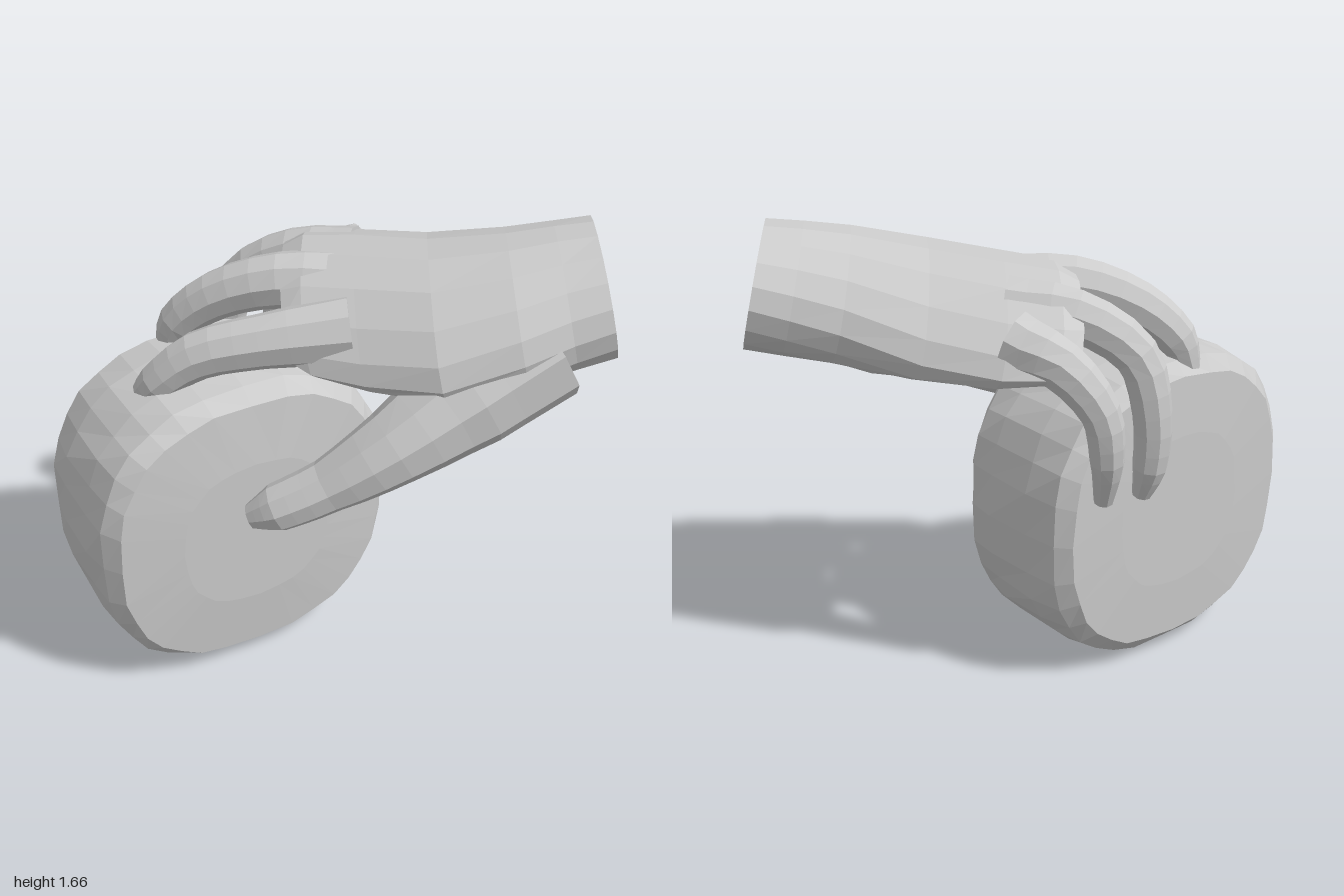
import * as THREE from 'three';

const material = new THREE.MeshStandardMaterial({ color: 0xcccccc, flatShading: true });

// Skin a list of equal-length rings and close both ends
function loft(name, rings) {
  const n = rings[0].length, pos = [], idx = [];
  rings.forEach(r => r.forEach(p => pos.push(p.x, p.y, p.z)));
  for (let i = 0; i < rings.length - 1; i++) {
    for (let j = 0; j < n; j++) {
      const a = i * n + j, b = i * n + (j + 1) % n;
      idx.push(a, b, a + n, b, b + n, a + n);
    }
  }
  [0, rings.length - 1].forEach(i => {
    const c = rings[i].reduce((s, p) => s.add(p), new THREE.Vector3()).divideScalar(n);
    const k = pos.length / 3;
    pos.push(c.x, c.y, c.z);
    for (let j = 0; j < n; j++) {
      const a = i * n + j, b = i * n + (j + 1) % n;
      if (i === 0) idx.push(k, b, a); else idx.push(k, a, b);
    }
  });
  const g = new THREE.BufferGeometry();
  g.setAttribute('position', new THREE.Float32BufferAttribute(pos, 3));
  g.setIndex(idx);
  g.computeVertexNormals();
  const mesh = new THREE.Mesh(g, material);
  mesh.name = name;
  return mesh;
}

const angles = n => Array.from({ length: n }, (_, j) => j / n * Math.PI * 2);

// Tapered finger through points [x, y, z, radius], with a rounded tip
function finger(name, pts, steps = 12, sides = 9) {
  const curve = new THREE.CatmullRomCurve3(pts.map(p => new THREE.Vector3(p[0], p[1], p[2])));
  const zAxis = new THREE.Vector3(0, 0, 1), rings = [];
  for (let i = 0; i <= steps; i++) {
    const t = i / steps, f = t * (pts.length - 1);
    const k = Math.min(Math.floor(f), pts.length - 2);
    const r = THREE.MathUtils.lerp(pts[k][3], pts[k + 1][3], f - k);
    const c = curve.getPoint(t), T = curve.getTangent(t);
    const u = T.clone().cross(zAxis).normalize(), v = T.clone().cross(u);
    rings.push(angles(sides).map(a => c.clone()
      .addScaledVector(u, r * Math.cos(a)).addScaledVector(v, r * Math.sin(a))));
  }
  return loft(name, rings);
}

// Thick rounded disc, turned about the vertical, with a bevelled, slightly uneven rim
function disc() {
  const d = new THREE.Vector3(0.85, 0, -0.53), n = new THREE.Vector3(0.53, 0, 0.85);
  const sq = v => Math.sign(v) * Math.abs(v) ** 0.8;
  const profile = [[-0.3, 0.5], [-0.29, 0.88], [-0.24, 0.97], [-0.1, 1], [0.1, 1], [0.22, 0.98], [0.28, 0.9], [0.3, 0.5]];
  return loft('roundBlock', profile.map(([h, s], i) => angles(32).map((a, j) => {
    const k = s * (1 + 0.008 * Math.sin(j * 2.4 + i * 1.9));
    return new THREE.Vector3(-0.38, 0.59, 0.065)
      .addScaledVector(d, 0.575 * k * sq(Math.cos(a)))
      .addScaledVector(n, h)
      .add(new THREE.Vector3(0, 0.585 * k * sq(Math.sin(a)), 0));
  })));
}

// Wrist and palm: rings of [x, centre y, half height, centre z, half width, droop of the sides]
function palm() {
  const sections = [
    [0.95, 1.445, 0.215, 0.02, 0.315, 0],
    [0.82, 1.425, 0.22, 0.03, 0.33, 0.02],
    [0.66, 1.4, 0.22, 0.045, 0.375, 0.04],
    [0.4, 1.38, 0.195, 0.015, 0.445, 0.1],
    [0.15, 1.39, 0.155, -0.07, 0.45, 0.14],
    [-0.03, 1.4, 0.12, -0.115, 0.43, 0.15],
    [-0.1, 1.4, 0.08, -0.12, 0.39, 0.13],
  ];
  return loft('palmAndWrist', sections.map(([x, cy, ry, cz, rz, sag]) => angles(18).map(a => {
    const c = Math.cos(a), s = Math.sin(a);
    return new THREE.Vector3(x - 0.05 * s, cy + ry * s - sag * c * c, cz + rz * c);
  })));
}

export function createModel() {
  const group = new THREE.Group();
  const hand = new THREE.Group();
  hand.name = 'hand';
  hand.add(
    palm(),
    finger('thumb', [[0.75, 1.32, 0.2, 0.2], [0.5, 1.18, 0.3, 0.19], [0.25, 1.04, 0.42, 0.135],
      [0.03, 0.91, 0.47, 0.095], [-0.14, 0.83, 0.49, 0.085], [-0.23, 0.79, 0.49, 0.045]], 15),
    finger('indexFinger', [[0.1, 1.36, 0.2, 0.12], [-0.2, 1.32, 0.22, 0.095], [-0.42, 1.26, 0.22, 0.085],
      [-0.56, 1.15, 0.22, 0.07], [-0.63, 1.07, 0.2, 0.04]]),
    finger('middleFinger', [[0.1, 1.41, -0.02, 0.12], [-0.15, 1.42, -0.03, 0.1], [-0.38, 1.34, -0.06, 0.088],
      [-0.52, 1.22, -0.08, 0.075], [-0.57, 1.1, -0.09, 0.045]]),
    finger('ringFinger', [[0.1, 1.4, -0.24, 0.12], [-0.12, 1.39, -0.3, 0.09], [-0.32, 1.26, -0.35, 0.08],
      [-0.38, 1.05, -0.37, 0.07], [-0.38, 0.85, -0.36, 0.062], [-0.36, 0.73, -0.33, 0.035]], 15),
    finger('littleFinger', [[0.1, 1.34, -0.4, 0.11], [-0.05, 1.28, -0.49, 0.085], [-0.17, 1.13, -0.53, 0.07],
      [-0.2, 0.95, -0.52, 0.06], [-0.2, 0.78, -0.47, 0.035]]),
  );
  group.add(disc(), hand);
  return group;
}
